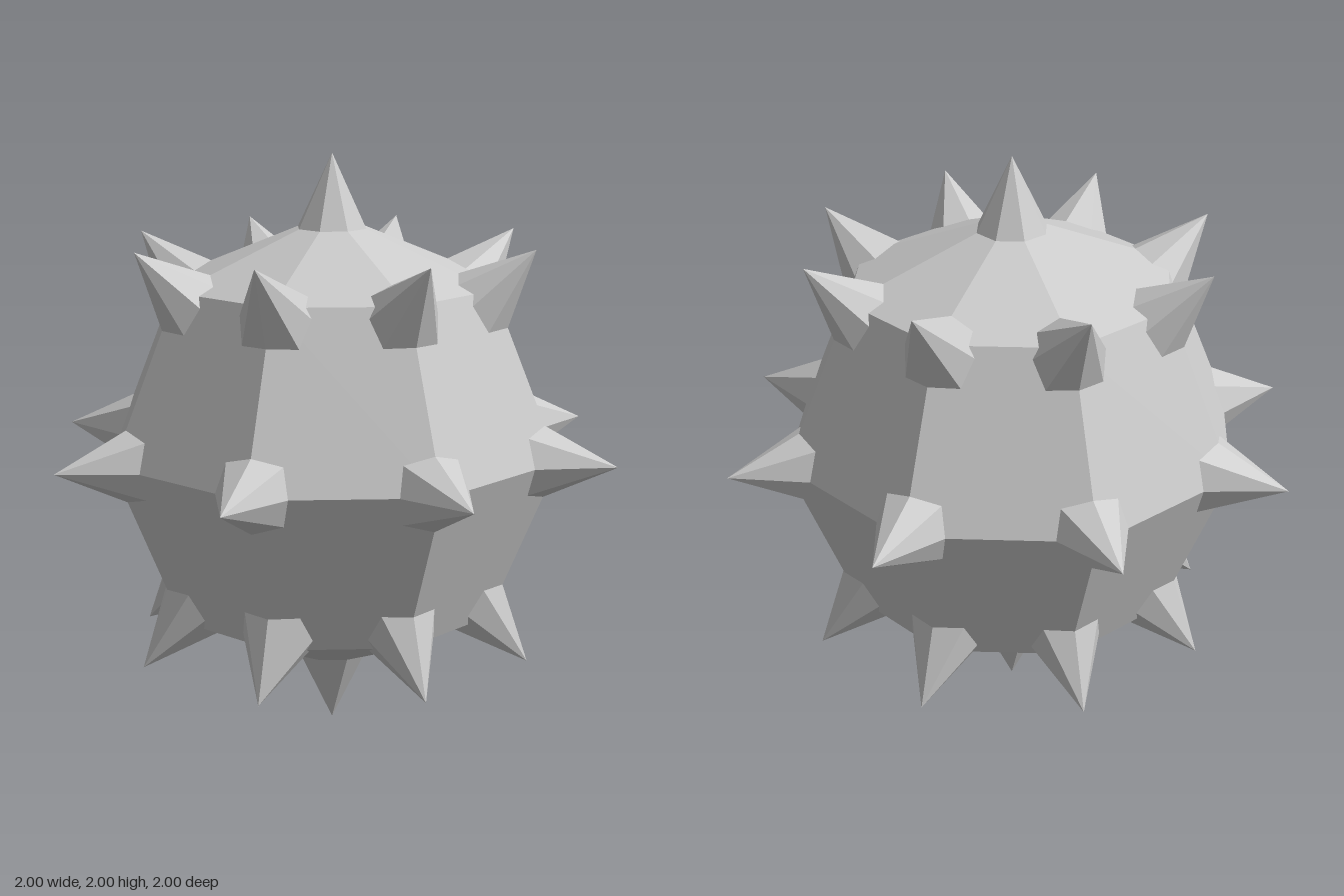
import * as THREE from 'three';

const BODY_RADIUS = 0.8;
const TIP_RADIUS = 1;
const SPIKE_HEIGHT = 0.4;
const SPIKE_BASE = 0.195;

export function createModel() {
  const model = new THREE.Group();
  model.name = 'spikedBall';
  const material = new THREE.MeshStandardMaterial({ color: 0xcccccc, flatShading: true });

  // Faceted body: eight segments around, four from pole to pole
  const body = new THREE.Mesh(new THREE.SphereGeometry(BODY_RADIUS, 8, 4), material);
  body.name = 'body';
  body.position.y = 1;
  model.add(body);

  // Eight-sided spike along +y, its base sunk into the body
  const spikeGeometry = new THREE.ConeGeometry(SPIKE_BASE, SPIKE_HEIGHT, 8);
  spikeGeometry.translate(0, TIP_RADIUS - SPIKE_HEIGHT / 2, 0);

  // Lean the spike away from the pole, then turn it around the vertical axis
  const spikes = new THREE.Group();
  spikes.name = 'spikes';
  spikes.position.y = 1;
  model.add(spikes);
  const addSpike = (name, tilt, turn) => {
    const spike = new THREE.Mesh(spikeGeometry, material);
    spike.name = name;
    spike.rotation.set(tilt, turn, 0, 'YXZ');
    spikes.add(spike);
  };

  // One spike on every corner of the body
  addSpike('topSpike', 0, 0);
  addSpike('bottomSpike', Math.PI, 0);
  ['upperSpike', 'middleSpike', 'lowerSpike'].forEach((name, ring) => {
    for (let i = 0; i < 8; i++) addSpike(name, (ring + 1) * Math.PI / 4, i * Math.PI / 4);
  });

  return model;
}
